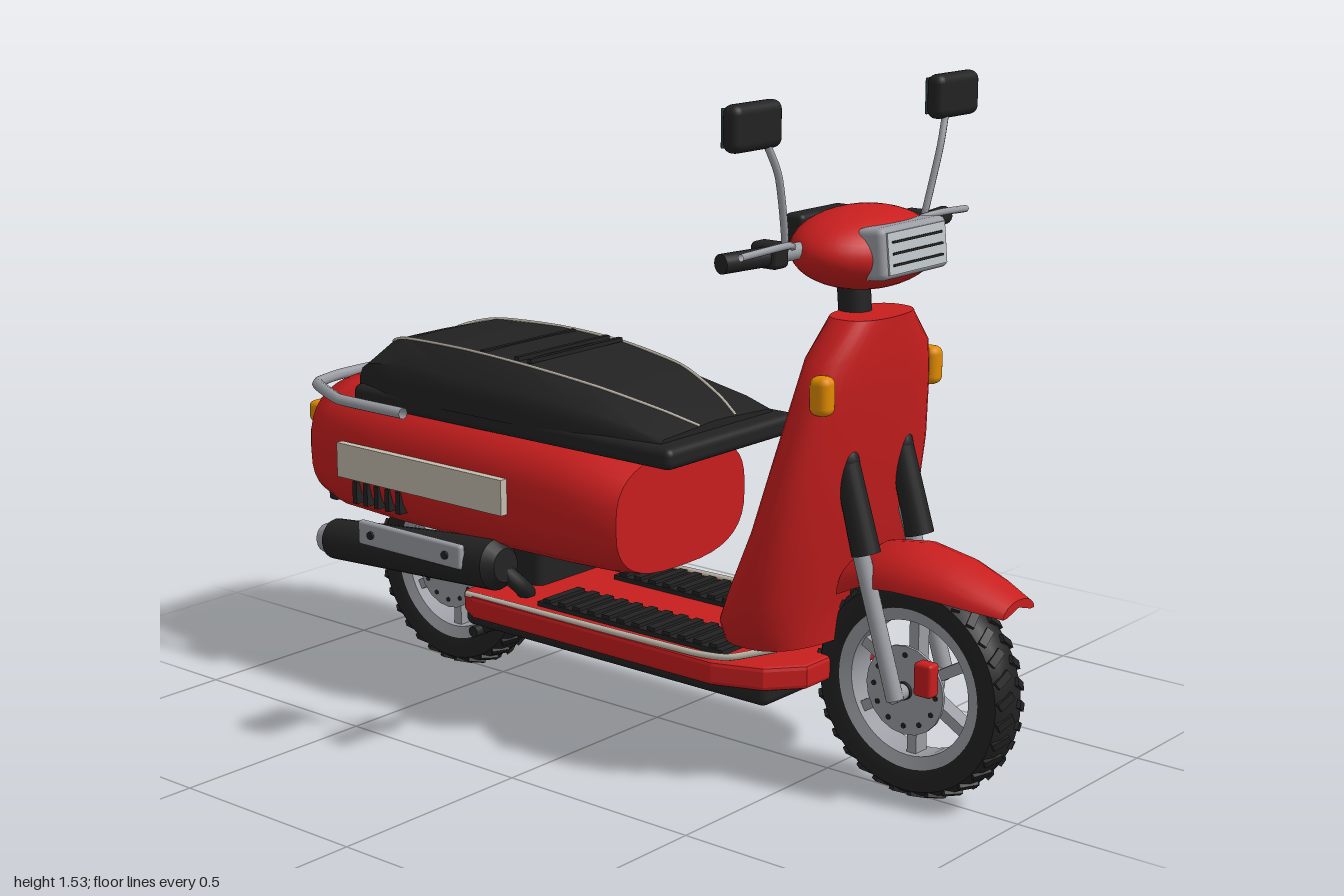
import * as THREE from 'three';
import { toCreasedNormals } from 'three/addons/utils/BufferGeometryUtils.js';
import { RoundedBoxGeometry } from 'three/addons/geometries/RoundedBoxGeometry.js';

const mat = (name, color) => new THREE.MeshStandardMaterial({ name, color });
const V = (x, y, z) => new THREE.Vector3(x, y, z);

export function createModel() {
  const root = new THREE.Group();
  const red = mat('red paint', 0xc81e1e), black = mat('black rubber', 0x222222), grey = mat('metal', 0x9a9da3);
  const cream = mat('cream trim', 0xc4bcae), amber = mat('amber lens', 0xe08a00), glass = mat('mirror glass', 0x2e4048);
  const lens = mat('headlight lens', 0xc0c5ca), tail = mat('tail lens', 0x9a1212);

  const add = (name, geo, m, p = [0, 0, 0], r = [0, 0, 0], parent = root) => {
    const mesh = new THREE.Mesh(geo, m);
    mesh.name = name;
    mesh.position.set(...p);
    mesh.rotation.set(...r);
    parent.add(mesh);
    return mesh;
  };
  const box = (name, m, s, p, r, parent) => add(name, new THREE.BoxGeometry(...s), m, p, r, parent);
  const rbox = (name, m, s, p, rad, r) => add(name, new RoundedBoxGeometry(...s, 3, rad), m, p, r);
  const tube = (name, m, pts, r, tension = 0.15) =>
    add(name, new THREE.TubeGeometry(new THREE.CatmullRomCurve3(pts, false, 'catmullrom', tension), 40, r, 8), m);
  // straight rod between two points
  const rod = (name, m, a, b, r0, r1 = r0, parent = root) => {
    const d = b.clone().sub(a);
    const mesh = add(name, new THREE.CylinderGeometry(r1, r0, d.length(), 20), m, a.clone().add(b).multiplyScalar(0.5).toArray(), [0, 0, 0], parent);
    mesh.quaternion.setFromUnitVectors(V(0, 1, 0), d.normalize());
    return mesh;
  };
  // skin over a row of closed rings, capped at both ends
  const loft = (rings, crease = 0.7) => {
    const n = rings[0].length, pos = [], idx = [];
    const mid = ring => ring.reduce((s, p) => s.add(p), V(0, 0, 0)).divideScalar(n);
    rings.forEach(ring => ring.forEach(p => pos.push(p.x, p.y, p.z)));
    for (let i = 0; i < rings.length - 1; i++) for (let j = 0; j < n; j++) {
      const a = i * n + j, b = i * n + (j + 1) % n;
      idx.push(a, b, a + n, b, b + n, a + n);
    }
    const last = (rings.length - 1) * n, c = rings.length * n;
    pos.push(...mid(rings[0]).toArray(), ...mid(rings[rings.length - 1]).toArray());
    for (let j = 0; j < n; j++) {
      const k = (j + 1) % n;
      idx.push(c, k, j, c + 1, last + j, last + k);
    }
    const at = i => V(pos[i * 3], pos[i * 3 + 1], pos[i * 3 + 2]);
    let vol = 0;
    for (let i = 0; i < idx.length; i += 3) vol += at(idx[i]).dot(at(idx[i + 1]).cross(at(idx[i + 2])));
    if (vol < 0) idx.reverse();
    const g = new THREE.BufferGeometry();
    g.setAttribute('position', new THREE.Float32BufferAttribute(pos, 3));
    g.setIndex(idx);
    return toCreasedNormals(g, crease);
  };
  // rounded-square outline as [u, v] pairs
  const squircle = (a, b, e, n = 36) => Array.from({ length: n }, (_, i) => {
    const t = i / n * Math.PI * 2, c = Math.cos(t), s = Math.sin(t);
    return [a * Math.sign(c) * Math.abs(c) ** (2 / e), b * Math.sign(s) * Math.abs(s) ** (2 / e)];
  });

  // wheels
  const tyreProfile = [[0.172, -0.04], [0.2, -0.05], [0.228, -0.048], [0.241, -0.03], [0.246, 0], [0.241, 0.03], [0.228, 0.048], [0.2, 0.05], [0.172, 0.04]];
  const rimProfile = [[0.152, -0.035], [0.18, -0.043], [0.18, 0.043], [0.152, 0.035], [0.152, -0.035]];
  const lathe = pts => toCreasedNormals(new THREE.LatheGeometry(pts.map(p => new THREE.Vector2(...p)), 56).rotateX(-Math.PI / 2), 0.6);
  for (const [name, x] of [['frontWheel', 0.738], ['rearWheel', -0.635]]) {
    const w = new THREE.Group();
    w.name = name;
    w.position.set(x, 0.258, 0);
    root.add(w);
    const tyre = add('tyre', lathe(tyreProfile), black, [0, 0, 0], [0, 0, 0], w);
    tyre.material = black;
    black.side = grey.side = THREE.DoubleSide;
    add('rim', lathe(rimProfile), grey, [0, 0, 0], [0, 0, 0], w);
    rod('hub', grey, V(0, 0, -0.045), V(0, 0, 0.045), 0.04, 0.04, w);
    rod('brakeDisc', grey, V(0, 0, 0.045), V(0, 0, 0.052), 0.1, 0.1, w);
    rod('axleCap', black, V(0, 0, -0.06), V(0, 0, 0.06), 0.02, 0.02, w);
    for (let i = 0; i < 12; i++) {
      const a = i * Math.PI / 6;
      add('discHole', new THREE.CylinderGeometry(0.006, 0.006, 0.003, 8), black, [0.08 * Math.cos(a), 0.08 * Math.sin(a), 0.053], [Math.PI / 2, 0, 0], w);
      if (i % 2) box('spoke', grey, [0.13, 0.024, 0.04], [0.1 * Math.cos(a), 0.1 * Math.sin(a), 0], [0, 0, a], w);
    }
    for (let i = 0; i < 32; i++) for (const s of [-1, 1]) {
      const knob = new THREE.Group();
      knob.rotation.z = (i + (s > 0 ? 0.5 : 0)) * Math.PI / 16;
      box('treadBlock', black, [0.018, 0.02, 0.042], [0, 0.236, s * 0.026], [s * 0.35, s * 0.5, 0], knob);
      w.add(knob);
    }
  }

  // rear body shell
  const body = [[-0.97, 0.45, 0.66, 0.19], [-0.93, 0.4, 0.715, 0.225], [-0.85, 0.385, 0.735, 0.255], [-0.65, 0.38, 0.74, 0.268], [-0.4, 0.38, 0.735, 0.27],
    [-0.1, 0.385, 0.715, 0.265], [0.02, 0.388, 0.69, 0.25], [0.075, 0.395, 0.675, 0.232]];
  add('rearBody', loft(body.map(([x, b, t, h]) => squircle(h, (t - b) / 2, 2.8).map(([z, y]) => V(x, (b + t) / 2 + y, z)))), red);

  // leg shield
  const shield = [[0.33, 0.31, 0.55, 0.22], [0.38, 0.315, 0.555, 0.25], [0.45, 0.35, 0.57, 0.262], [0.6, 0.42, 0.605, 0.262], [0.75, 0.465, 0.63, 0.245],
    [0.9, 0.5, 0.652, 0.212], [0.98, 0.515, 0.66, 0.188], [1.06, 0.53, 0.662, 0.11]];
  add('legShield', loft(shield.map(([y, b, f, h]) => squircle((f - b) / 2, h, 2.5).map(([x, z]) => V((b + f) / 2 + x, y, z)))), red);
  rbox('glovePocket', black, [0.06, 0.2, 0.21], [0.46, 0.68, 0], 0.015, [0, 0, -0.2]);
  box('pocketLid', black, [0.02, 0.05, 0.19], [0.435, 0.74, 0], [0, 0, -0.2]);

  // front fender, an arched shell
  const fender = [[0.58, 0.52, 0.09, 0.07], [0.65, 0.565, 0.105, 0.08], [0.74, 0.578, 0.108, 0.085], [0.84, 0.56, 0.1, 0.07], [0.92, 0.53, 0.082, 0.05], [0.985, 0.5, 0.06, 0.03]];
  add('frontFender', loft(fender.map(([x, y, h, d]) => Array.from({ length: 26 }, (_, i) => {
    const inner = i > 12, t = (inner ? 25 - i : i) / 12 * Math.PI, k = inner ? 0.014 : 0;
    return V(x, y - d + (d - k) * Math.sin(t), (h - k) * Math.cos(t));
  }))), red);

  // seat
  rbox('seatBase', black, [1.0, 0.05, 0.465], [-0.27, 0.715, 0], 0.018);
  const seat = [[-0.775, 0.8, 0.08, 0.2], [-0.74, 0.832, 0.115, 0.215], [-0.65, 0.855, 0.155, 0.23], [-0.45, 0.86, 0.17, 0.235], [-0.25, 0.85, 0.17, 0.235],
    [-0.05, 0.825, 0.148, 0.228], [0.1, 0.785, 0.1, 0.215], [0.18, 0.755, 0.065, 0.2]];
  add('seatCushion', loft(seat.map(([x, t, a, b]) => {
    const half = [[b, 0.725], [b, 0.74 + (t - 0.75) * 0.25], [b * 0.95, 0.74 + (t - 0.74) * 0.55], [a, t], [a * 0.5, t + 0.003]];
    return [...half.map(([z, y]) => V(x, y, z)), ...half.reverse().map(([z, y]) => V(x, y, -z))];
  })), black);
  for (const s of [-1, 1]) tube('seatPiping', cream, seat.map(([x, t, a]) => V(x, t + 0.001, s * a)), 0.0035, 0.4);
  for (const x of [-0.4, -0.29, -0.25]) box('seatRib', black, [0.012, 0.01, 0.32], [x, 0.858, 0]);

  // grab rail round the tail
  tube('grabRail', grey, [[-0.54, 0.285], [-0.76, 0.283], [-0.93, 0.2], [-0.96, 0.1], [-0.96, -0.1], [-0.93, -0.2], [-0.76, -0.283], [-0.54, -0.285]]
    .map(([x, z]) => V(x, 0.712, z)), 0.014);

  // tail light and plate
  rbox('tailLightHousing', black, [0.05, 0.1, 0.25], [-0.96, 0.615, 0], 0.012);
  box('tailLens', tail, [0.008, 0.07, 0.21], [-0.986, 0.615, 0]);
  rbox('plateHolder', black, [0.03, 0.155, 0.24], [-0.973, 0.465, 0], 0.008);
  box('plate', cream, [0.006, 0.135, 0.22], [-0.99, 0.465, 0]);

  // floor, mats and frame
  const deck = [[-0.41, 0.21], [-0.36, 0.24], [0.36, 0.24], [0.47, 0.2], [0.53, 0.13]];
  const floor = new THREE.Shape([...deck, ...deck.slice().reverse().map(([x, z]) => [x, -z])].map(p => new THREE.Vector2(...p)));
  add('floorBoard', new THREE.ExtrudeGeometry(floor, { depth: 0.035, bevelSize: 0.008, bevelThickness: 0.01, bevelSegments: 2 }).rotateX(Math.PI / 2), red, [0, 0.28, 0]);
  rbox('underFrame', black, [0.92, 0.07, 0.3], [-0.025, 0.205, 0], 0.02);
  for (const s of [-1, 1]) {
    box('floorMat', black, [0.55, 0.012, 0.13], [0.08, 0.295, s * 0.135]);
    for (let i = 0; i < 12; i++) box('matRib', black, [0.022, 0.01, 0.12], [-0.17 + i * 0.045, 0.304, s * 0.135]);
    tube('floorTrim', cream, [V(-0.39, 0.288, s * 0.235), V(0.3, 0.297, s * 0.24), V(0.4, 0.305, s * 0.235), V(0.49, 0.33, s * 0.18)], 0.008);
  }

  // steering head
  rod('steeringNeck', black, V(0.555, 1.03, 0), V(0.545, 1.15, 0), 0.036);
  const head = add('headCowl', new THREE.SphereGeometry(1, 40, 24), red, [0.575, 1.2, 0], [0, 0, -0.08]);
  head.scale.set(0.135, 0.087, 0.197);
  rbox('headlightFrame', grey, [0.07, 0.11, 0.24], [0.672, 1.207, 0], 0.015, [0, 0, 0.1]);
  box('headlightLens', lens, [0.008, 0.088, 0.21], [0.706, 1.21, 0], [0, 0, 0.1]);
  for (const y of [-0.024, 0, 0.024]) box('headlightSlat', black, [0.004, 0.005, 0.18], [0.711 - y * 0.1, 1.21 + y, 0], [0, 0, 0.1]);
  rbox('instrumentPanel', black, [0.05, 0.095, 0.19], [0.455, 1.22, 0], 0.012);
  box('instrumentGlass', glass, [0.006, 0.07, 0.16], [0.428, 1.22, 0]);

  // parts on both sides
  for (const s of [-1, 1]) {
    rod('handlebar', grey, V(0.54, 1.21, s * 0.14), V(0.53, 1.21, s * 0.27), 0.018);
    rod('grip', black, V(0.53, 1.21, s * 0.28), V(0.505, 1.208, s * 0.4), 0.021);
    rbox('switchBox', black, [0.07, 0.055, 0.05], [0.525, 1.212, s * 0.265], 0.012);
    tube('brakeLever', grey, [V(0.55, 1.225, s * 0.22), V(0.575, 1.236, s * 0.28), V(0.56, 1.228, s * 0.405)], 0.008, 0.5);
    tube('mirrorStalk', grey, [V(0.55, 1.22, s * 0.25), V(0.557, 1.26, s * 0.257), V(0.565, 1.38, s * 0.29), V(0.555, 1.46, s * 0.325)], 0.008, 0.4);
    rbox('mirrorShell', black, [0.045, 0.098, 0.158], [0.55, 1.487, s * 0.357], 0.02);
    rbox('mirrorGlass', glass, [0.006, 0.08, 0.138], [0.526, 1.487, s * 0.357], 0.002);
    rbox('frontIndicator', amber, [0.05, 0.085, 0.045], [0.615, 0.915, s * 0.198], 0.018);
    rbox('rearIndicator', amber, [0.045, 0.055, 0.05], [-0.962, 0.63, s * 0.16], 0.015);
    // fork
    rod('forkLeg', grey, V(0.745, 0.25, s * 0.097), V(0.63, 0.62, s * 0.097), 0.019);
    rod('forkBoot', black, V(0.665, 0.56, s * 0.1), V(0.61, 0.75, s * 0.1), 0.032, 0.028);
    add('bootTop', new THREE.SphereGeometry(0.028, 16, 12), black, [0.61, 0.75, s * 0.1]).scale.y = 1.5;
    // side panel and vents
    box('sidePanel', cream, [0.545, 0.085, 0.02], [-0.498, 0.562, s * 0.277]);
    for (let i = 0; i < 5; i++) box('ventSlot', black, [0.014, 0.055, 0.04], [-0.73 + i * 0.037, 0.482, s * 0.25]);
  }
  rod('axle', grey, V(0.738, 0.258, -0.1), V(0.738, 0.258, 0.1), 0.018);
  rbox('frontCaliper', red, [0.045, 0.075, 0.035], [0.815, 0.31, 0.085], 0.008);
  rbox('rearCaliper', red, [0.05, 0.04, 0.035], [-0.555, 0.285, 0.085], 0.008);

  // exhaust
  rod('muffler', black, V(-0.85, 0.333, 0.222), V(-0.3, 0.375, 0.222), 0.05, 0.062);
  rod('mufflerFront', black, V(-0.3, 0.375, 0.222), V(-0.275, 0.377, 0.222), 0.062, 0.04);
  rod('mufflerTip', grey, V(-0.885, 0.329, 0.222), V(-0.85, 0.333, 0.222), 0.036, 0.044);
  rbox('heatShield', grey, [0.345, 0.06, 0.02], [-0.53, 0.393, 0.28], 0.008);
  for (const x of [-0.655, -0.405]) add('shieldBolt', new THREE.CylinderGeometry(0.01, 0.01, 0.008, 10), black, [x, 0.393, 0.292], [Math.PI / 2, 0, 0]);
  tube('exhaustPipe', black, [V(-0.3, 0.37, 0.22), V(-0.27, 0.3, 0.16), V(-0.36, 0.24, 0.08)], 0.022, 0.5);

  // engine on the other side
  rbox('engineBlock', black, [0.22, 0.16, 0.3], [-0.4, 0.33, -0.06], 0.02);
  rbox('driveCase', black, [0.42, 0.12, 0.09], [-0.52, 0.32, -0.13], 0.03);
  for (let i = 0; i < 5; i++) box('coolingFin', black, [0.015, 0.13, 0.06], [-0.48 + i * 0.04, 0.35, -0.22]);
  rod('fanHousing', black, V(-0.58, 0.345, -0.14), V(-0.58, 0.345, -0.225), 0.085);
  add('fanCover', new THREE.SphereGeometry(0.076, 28, 16), grey, [-0.58, 0.345, -0.222]).scale.z = 0.45;

  // stand
  rod('standBar', black, V(-0.48, 0.145, -0.125), V(-0.48, 0.145, 0.125), 0.014);
  for (const s of [-1, 1]) rod('standLeg', black, V(-0.48, 0.145, s * 0.09), V(-0.38, 0.21, s * 0.09), 0.014);
  return root;
}
